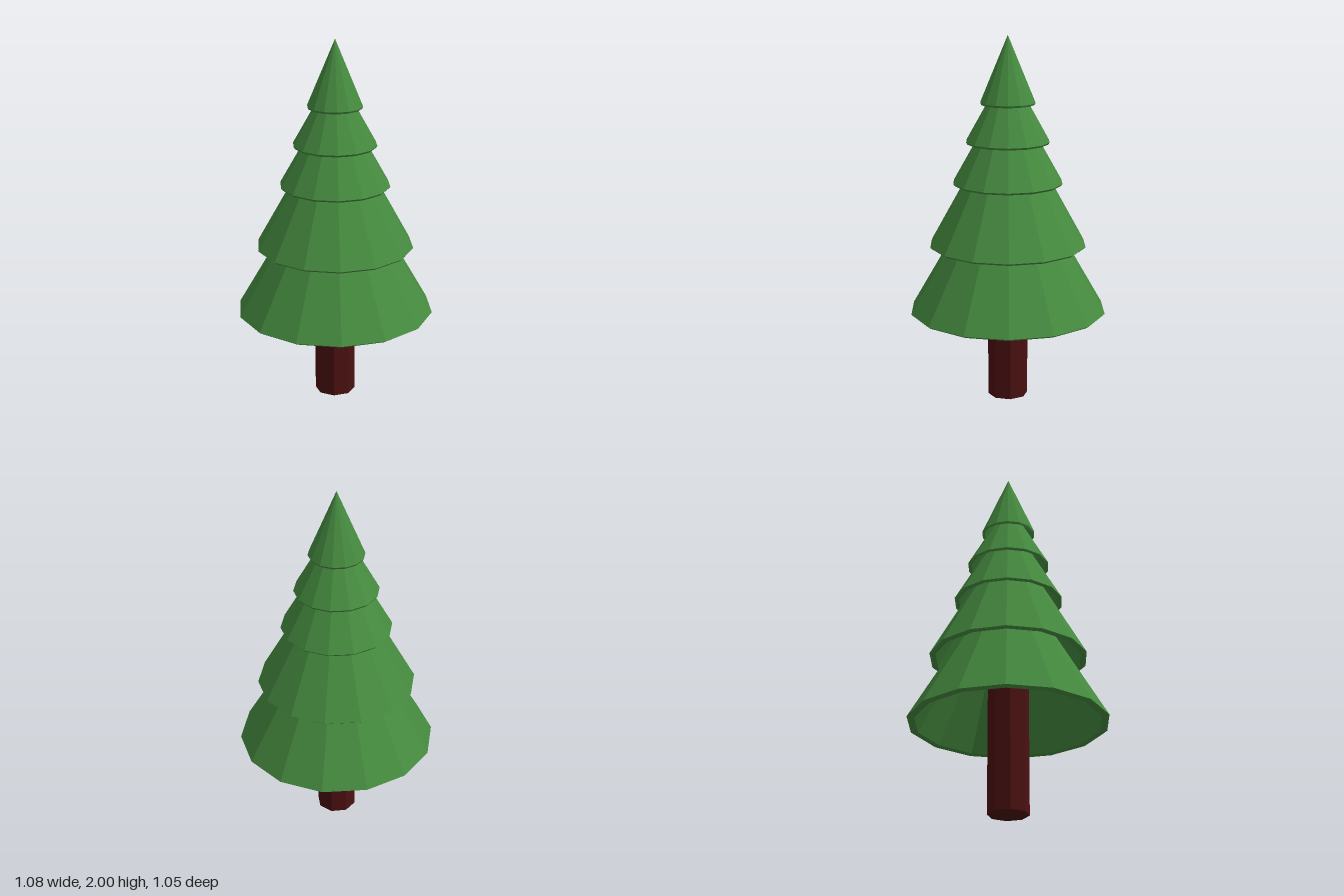
import * as THREE from 'three';

const SIDES = 14;

// Hollow cone of foliage: inner wall down, bevelled rim, outer wall up
function tier(bottom, radius, apex, material) {
  const rim = 0.03 * radius + 0.002;
  const profile = [
    [0, apex - 0.07],
    [radius - 2.2 * rim, bottom + 0.008],
    [radius - 0.9 * rim, bottom],
    [radius, bottom + 0.011],
    [0, apex],
  ].map(([r, y]) => new THREE.Vector2(r, y));
  const mesh = new THREE.Mesh(new THREE.LatheGeometry(profile, SIDES), material);
  mesh.rotation.y = Math.PI / 2; // corners on the x axis
  return mesh;
}

export function createModel() {
  const tree = new THREE.Group();
  tree.name = 'pineTree';

  const green = new THREE.MeshStandardMaterial({ color: 0x458a3f, flatShading: true });
  const brown = new THREE.MeshStandardMaterial({ color: 0x4a1010, flatShading: true });

  // Octagonal trunk, running up inside the lowest tier
  const trunk = new THREE.Mesh(new THREE.CylinderGeometry(0.11, 0.11, 1, 8), brown);
  trunk.position.y = 0.5;
  trunk.name = 'trunk';
  tree.add(trunk);

  // Foliage tiers from the bottom up: bottom height, radius, apex height
  [
    [0.487, 0.54, 1.43],
    [0.857, 0.43, 1.64],
    [1.2, 0.3, 1.74],
    [1.423, 0.228, 1.84],
    [1.632, 0.15, 2.0],
  ].forEach(([bottom, radius, apex], i) => {
    const mesh = tier(bottom, radius, apex, green);
    mesh.name = `foliageTier${i + 1}`;
    tree.add(mesh);
  });

  return tree;
}
